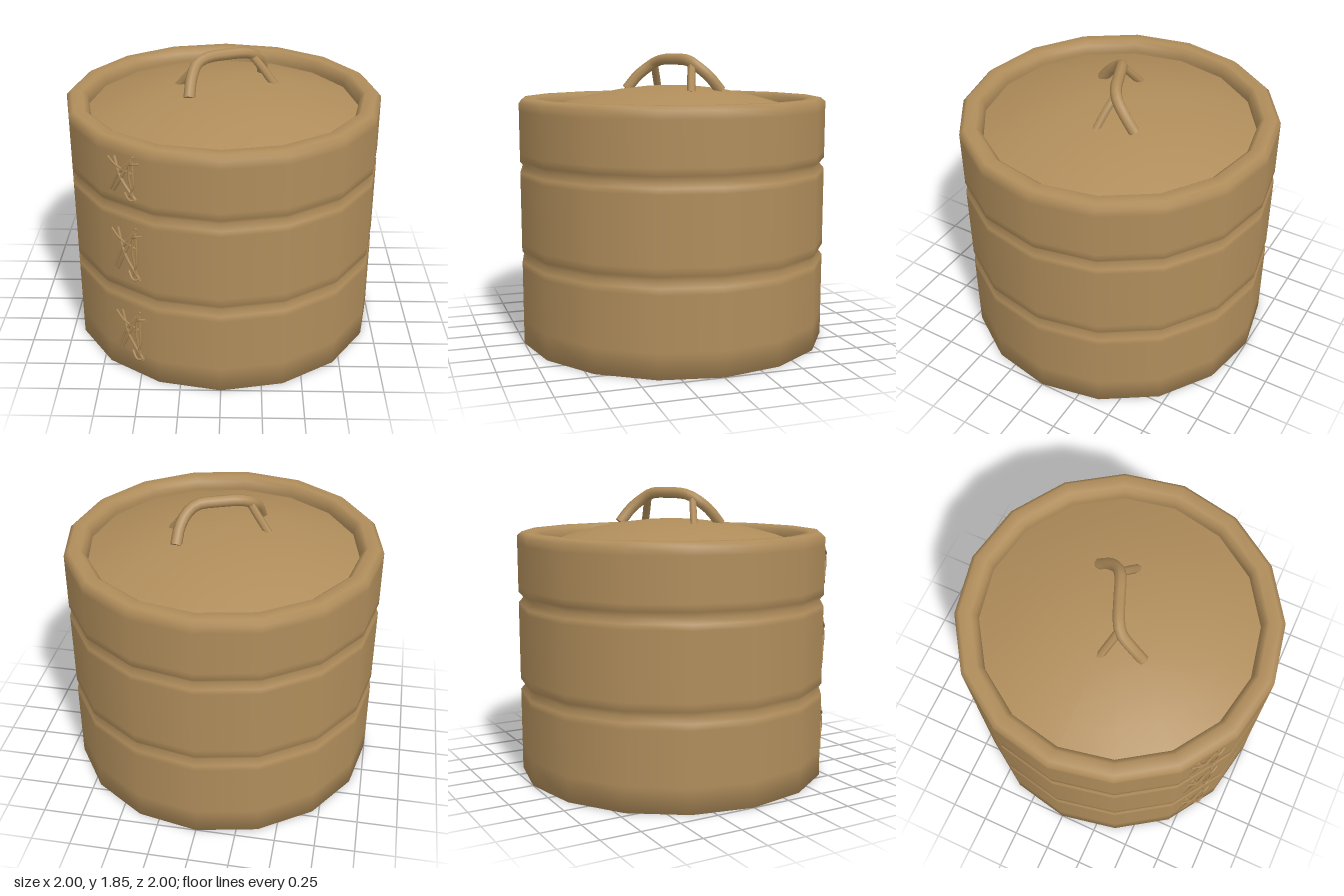
import * as THREE from 'three';

export function createModel() {
  const model = new THREE.Group();
  const bamboo = new THREE.MeshStandardMaterial({ color: 0xb08d5b });
  bamboo.name = 'bamboo';
  const bambooSheet = bamboo;
  bambooSheet.side = THREE.DoubleSide;

  const add = (parent, name, geometry) => {
    const mesh = new THREE.Mesh(geometry, bamboo);
    mesh.name = name;
    parent.add(mesh);
    return mesh;
  };
  const lathe = (pts) => new THREE.LatheGeometry(pts.map(([r, y]) => new THREE.Vector2(r, y)), 16);

  // Rod along a few points with flat closed ends
  const rod = (parent, name, pts, radius, steps = 10, sides = 6) => {
    const curve = new THREE.CatmullRomCurve3(pts.map((p) => new THREE.Vector3(...p)));
    add(parent, name, new THREE.TubeGeometry(curve, steps, radius, sides));
    for (const t of [0, 1]) {
      const cap = add(parent, name + 'End', new THREE.CircleGeometry(radius, sides));
      cap.position.copy(curve.getPointAt(t));
      const out = curve.getTangentAt(t).multiplyScalar(t ? 1 : -1);
      cap.quaternion.setFromUnitVectors(new THREE.Vector3(0, 0, 1), out);
    }
  };

  // Three stacked bands: outer wall with two grooves, rounded rim, inner wall
  add(model, 'basketWall', lathe([
    [0.86, 0.025], [0.9, 0], [1, 0], [1, 0.16], [1, 0.5],
    [1, 0.54], [0.97, 0.575], [1, 0.61], [1, 0.66], [1, 1.08],
    [1, 1.115], [0.97, 1.15], [1, 1.185], [1, 1.23], [1, 1.5],
    [1, 1.55], [0.97, 1.575], [0.9, 1.575], [0.87, 1.55], [0.86, 1.5],
    [0.86, 1.1], [0.86, 0.5], [0.86, 0.025],
  ]));

  // Shallow domed lid, set just below the rim
  const dome = [];
  for (let i = 0; i <= 5; i++) {
    const r = 0.86 * (1 - i / 5);
    dome.push([r, 1.65 - 0.223 * r * r]);
  }
  add(model, 'lid', lathe(dome));

  // Bent branch handle with a forked foot on each side
  const handle = new THREE.Group();
  handle.name = 'handle';
  model.add(handle);
  rod(handle, 'handleBar', [
    [-0.205, 1.62, 0.245], [-0.195, 1.71, 0.17], [-0.165, 1.78, 0.085], [-0.11, 1.81, 0.045],
    [0.02, 1.818, -0.01], [0.155, 1.81, -0.065], [0.205, 1.775, -0.105],
    [0.24, 1.71, -0.175], [0.25, 1.62, -0.25],
  ], 0.036, 20, 8);
  rod(handle, 'handleForkRight', [[-0.16, 1.775, 0.065], [-0.21, 1.71, 0.04], [-0.29, 1.61, 0]], 0.025, 5);
  rod(handle, 'handleForkLeft', [[0.18, 1.785, -0.08], [0.24, 1.72, -0.055], [0.325, 1.61, -0.025]], 0.027, 5);

  // Crossed lashings on the front right facet of each band
  const onFacet = (x, y, lift) => {
    const z = (0.981 + 0.5556 * x) / 0.8315;
    return [x - 0.5556 * lift, y, z + 0.8315 * lift];
  };
  const strands = [
    [[-0.64, -0.13], [-0.57, 0.04], [-0.5, 0.15]],
    [[-0.62, -0.14], [-0.56, 0], [-0.515, 0.13]],
    [[-0.605, 0.15], [-0.56, -0.01], [-0.48, -0.17]],
    [[-0.645, 0.13], [-0.59, 0.09], [-0.5, 0.04]],
    [[-0.49, 0.18], [-0.515, 0.06], [-0.505, -0.06], [-0.49, -0.18]],
    [[-0.525, -0.16], [-0.49, -0.05], [-0.495, 0.15]],
    [[-0.52, 0.1], [-0.49, 0.13], [-0.455, 0.14]],
    [[-0.55, -0.13], [-0.51, -0.17], [-0.475, -0.155]],
  ];
  for (const [cy, stretch] of [[1.365, 0.78], [0.87, 1], [0.29, 1]]) {
    const lashing = new THREE.Group();
    lashing.name = 'lashing';
    model.add(lashing);
    strands.forEach((pts, k) => {
      const path = pts.map(([x, y], i) =>
        onFacet(x, cy + y * stretch, i > 0 && i < pts.length - 1 ? 0.012 + 0.002 * (k % 4) : 0.003));
      rod(lashing, 'strand', path, k < 3 ? 0.01 : 0.007, 8, 5);
    });
  }

  // Staggered band ends overlapping on the inner wall
  const facet = THREE.MathUtils.degToRad(33.75);
  for (const [y0, y1, end] of [[0.03, 0.25, 0.03], [0.25, 0.53, 0.1], [0.53, 0.82, -0.03], [0.82, 1.1, 0.1]]) {
    const flap = new THREE.Group();
    flap.name = 'innerOverlap';
    flap.rotation.y = Math.PI / 2 - facet;
    model.add(flap);
    const width = end + 0.16;
    // local +z points out through the facet, local -x runs toward the front
    const plate = add(flap, 'overlapPlate', new THREE.BoxGeometry(width, y1 - y0, 0.008));
    plate.position.set((0.16 - end) / 2, (y0 + y1) / 2, 0.838);
  }

  return model;
}
